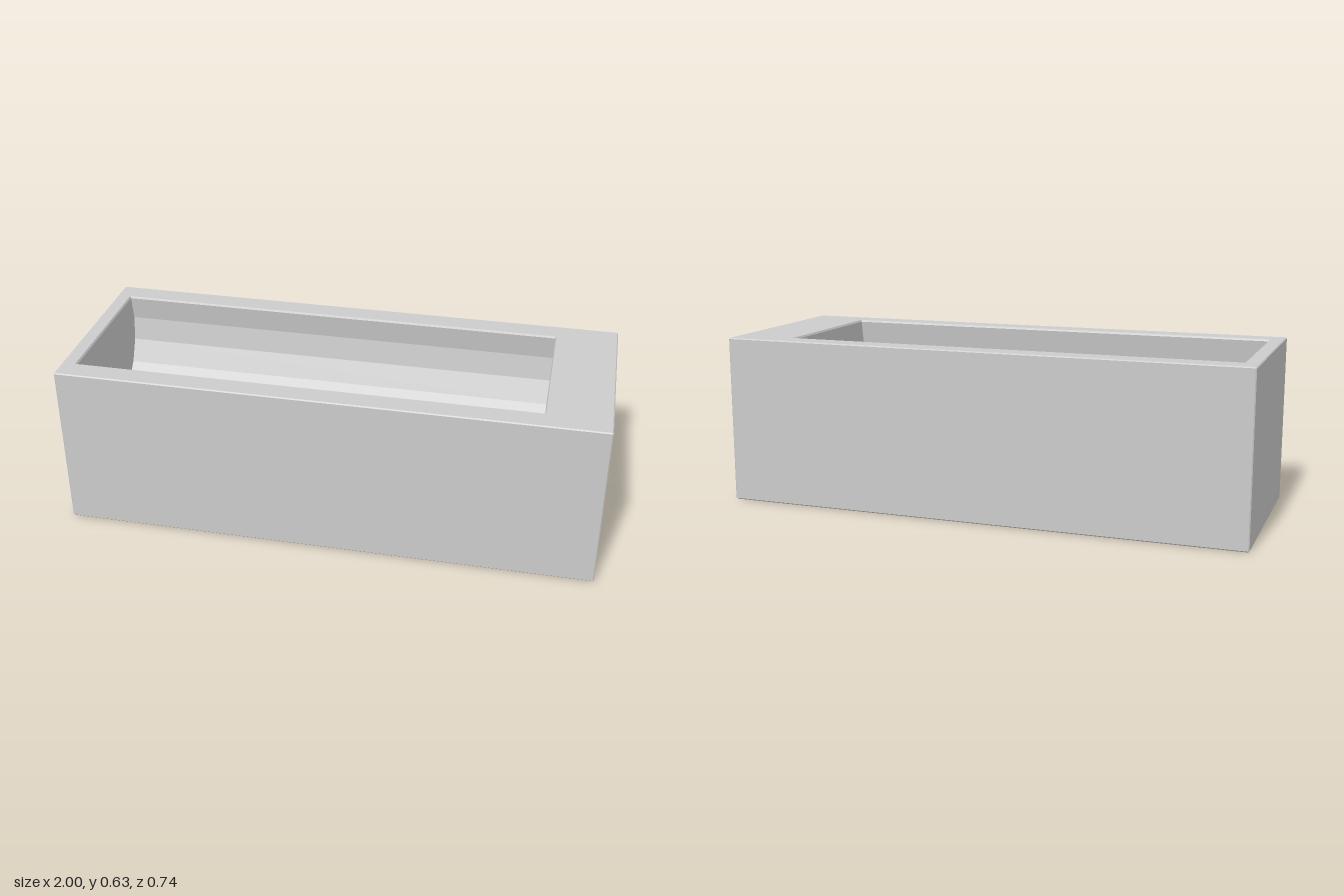
import * as THREE from 'three';

const H = 0.635, W = 1, D = 0.372, B = 0.004;      // block height, half width, half depth, edge bevel
const R = 0.3, CY = 0.535;                          // trough radius and axis height
const X0 = -0.945, X1 = 0.765;                      // trough ends
const TOP = Math.PI * 0.6;                          // trough arc runs past the half circle
const RIM_Y = CY - R * Math.cos(TOP), RIM_Z = R * Math.sin(TOP);

// Corner-cut rectangle lying at height y
function ring(x0, x1, z, y, cut) {
  return [
    [x0 + cut, y, z], [x1 - cut, y, z], [x1, y, z - cut], [x1, y, -z + cut],
    [x1 - cut, y, -z], [x0 + cut, y, -z], [x0, y, -z + cut], [x0, y, z - cut],
  ];
}

// Flat-faced skin through a list of cross-sections
function loft(rows, closed) {
  const pos = [];
  for (let i = 0; i + 1 < rows.length; i++) {
    const a = rows[i], b = rows[i + 1], n = a.length;
    for (let j = 0; j < (closed ? n : n - 1); j++) {
      const k = (j + 1) % n;
      pos.push(...a[j], ...a[k], ...b[k], ...a[j], ...b[k], ...b[j]);
    }
  }
  const g = new THREE.BufferGeometry();
  g.setAttribute('position', new THREE.Float32BufferAttribute(pos, 3));
  g.computeVertexNormals();
  return g;
}

export function createModel() {
  const group = new THREE.Group();
  const mat = new THREE.MeshStandardMaterial({ color: 0xcccccc, flatShading: true, side: THREE.DoubleSide });
  const add = (name, geometry) => {
    const mesh = new THREE.Mesh(geometry, mat);
    mesh.name = name;
    group.add(mesh);
    return mesh;
  };

  // Bevelled block: underside, walls, top surface and the lip of the opening
  const centre = Array.from({ length: 8 }, () => [0, 0, 0]);
  add('block', loft([
    centre,
    ring(-W + B, W - B, D - B, 0, B),
    ring(-W, W, D, B, B),
    ring(-W, W, D, H - B, B),
    ring(-W + B, W - B, D - B, H, B),
    ring(X0 - B, X1 + B, RIM_Z + B, H, B),
    ring(X0, X1, RIM_Z, RIM_Y, 0),
  ], true));

  // Faceted round trough
  const arc = [];
  for (let i = 0; i <= 12; i++) {
    const a = TOP * (i / 6 - 1);
    arc.push([R * Math.sin(a), CY - R * Math.cos(a)]);
  }
  add('trough', loft([X0, X1].map(x => arc.map(([z, y]) => [x, y, z])), false));

  // Flat end walls of the trough
  const endShape = new THREE.Shape(arc.map(([z, y]) => new THREE.Vector2(z, y)));
  for (const [name, x, turn] of [['rightEndWall', X0, 1], ['leftEndWall', X1, -1]]) {
    const wall = add(name, new THREE.ShapeGeometry(endShape));
    wall.rotation.y = turn * Math.PI / 2;
    wall.position.x = x;
  }

  // Round drain plate in the trough floor
  const drain = add('drain', new THREE.CylinderGeometry(0.038, 0.038, 0.01, 32));
  drain.position.set(0.685, CY - R + 0.003, -0.004);

  return group;
}
